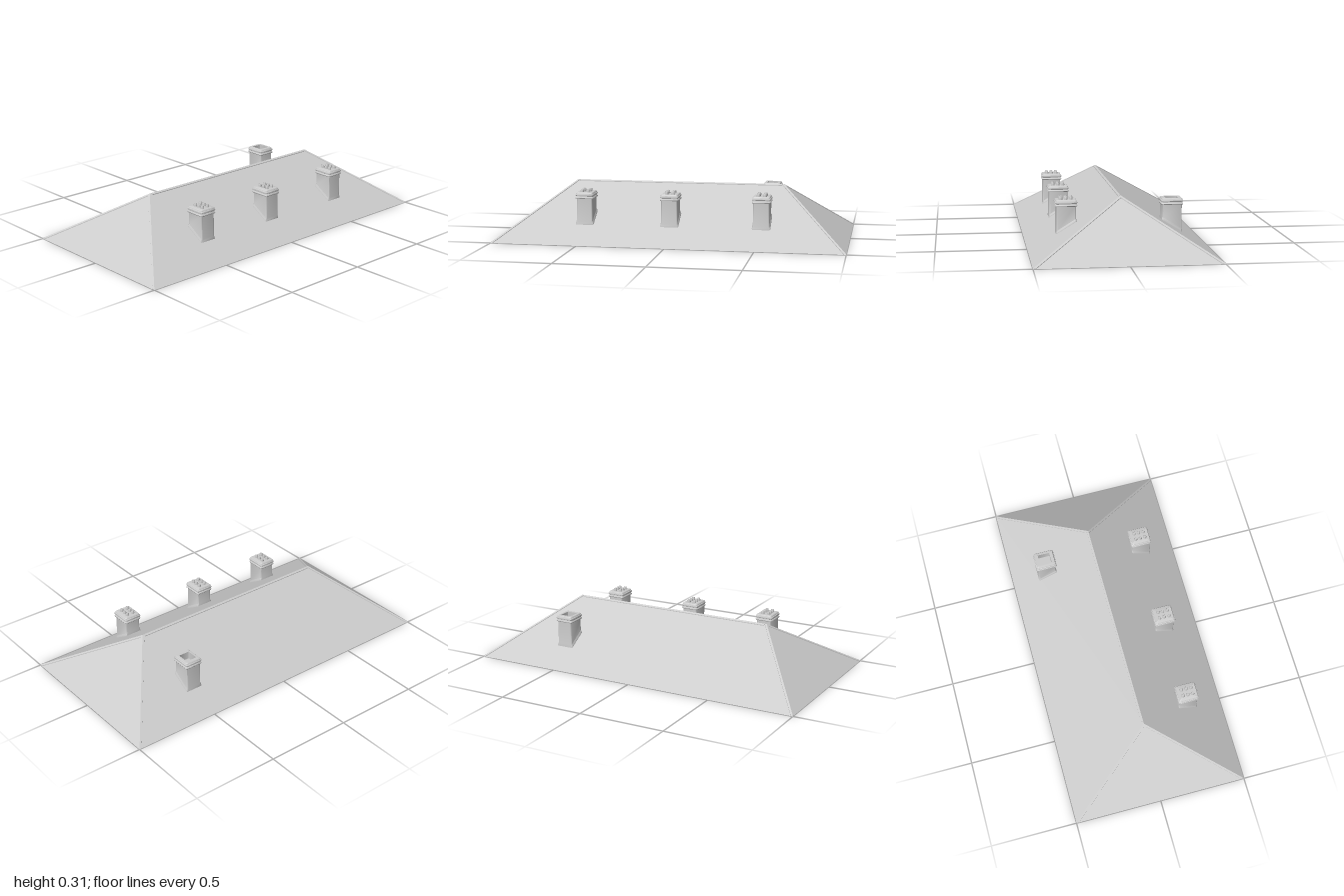
import * as THREE from 'three';
import { toCreasedNormals } from 'three/addons/utils/BufferGeometryUtils.js';

const HALF_W = 0.5, HALF_L = 1, RIDGE_Y = 0.305, RIDGE_Z = 0.615;
const slopeY = x => RIDGE_Y * (1 - Math.abs(x) / HALF_W);
const V = (x, y, z) => new THREE.Vector3(x, y, z);

const solid = new THREE.MeshStandardMaterial({ color: 0xcccccc });
const sheet = new THREE.MeshStandardMaterial({ color: 0xcccccc, side: THREE.DoubleSide });

function addMesh(parent, name, geometry, material) {
  const mesh = new THREE.Mesh(geometry, material);
  mesh.name = name;
  parent.add(mesh);
  return mesh;
}

// Flat-faced surface from polygons, each split as a fan
function polygons(faces) {
  const pts = [];
  for (const f of faces)
    for (let i = 1; i < f.length - 1; i++) pts.push(f[0], f[i], f[i + 1]);
  const g = new THREE.BufferGeometry().setFromPoints(pts);
  g.computeVertexNormals();
  return g;
}

// Thin strip between two matching cross-sections
function strip(start, end) {
  const faces = [];
  for (let i = 0; i < start.length - 1; i++)
    faces.push([start[i], start[i + 1], end[i + 1], end[i]]);
  faces.push(start, end);
  return polygons(faces);
}

// Rounded rectangle in plan
function roundedRing(hx, hz, r) {
  const pts = [];
  for (let c = 0; c < 4; c++) {
    const sx = c === 0 || c === 3 ? 1 : -1, sz = c < 2 ? 1 : -1;
    for (let k = 0; k <= 4; k++) {
      const a = (c + k / 4) * Math.PI / 2;
      pts.push([sx * (hx - r) + r * Math.cos(a), sz * (hz - r) + r * Math.sin(a)]);
    }
  }
  return pts;
}

// Loft through rings [halfX, halfZ, height, cornerRadius, followsSlope]
function loft(rings, cx) {
  const loops = rings.map(([hx, hz, y, r, follow]) =>
    roundedRing(hx, hz, r).map(([x, z]) => V(x, follow ? slopeY(cx + x) + y : y, z)));
  const pts = [];
  for (let j = 0; j < loops.length - 1; j++) {
    const a = loops[j], b = loops[j + 1], n = a.length;
    for (let i = 0; i < n; i++) {
      const k = (i + 1) % n;
      pts.push(a[i], b[i], a[k], a[k], b[i], b[k]);
    }
  }
  return toCreasedNormals(new THREE.BufferGeometry().setFromPoints(pts), 0.6);
}

function chimney(x, z, hasPots) {
  const group = new THREE.Group();
  group.name = hasPots ? 'pottedChimney' : 'openChimney';
  group.position.set(x, 0, z);

  // Flared foot on the slope, shaft, two collars and chamfered top
  const rings = [
    [0.056, 0.052, 0, 0.008, true],
    [0.056, 0.051, 0.007, 0.008, true],
    [0.054, 0.046, 0.016, 0.007, true],
    [0.054, 0.046, 0.244, 0.007],
    [0.059, 0.051, 0.244, 0.008],
    [0.061, 0.053, 0.248, 0.009],
    [0.059, 0.051, 0.253, 0.008],
    [0.056, 0.048, 0.255, 0.007],
    [0.056, 0.048, 0.259, 0.007],
    [0.060, 0.052, 0.261, 0.009],
    [0.061, 0.053, 0.264, 0.009],
    [0.060, 0.052, 0.269, 0.009],
    [0.057, 0.049, 0.271, 0.008],
    [0.056, 0.048, 0.276, 0.008],
    [0.053, 0.045, 0.279, 0.007],
  ];
  if (!hasPots) rings.push([0.035, 0.032, 0.279, 0.001], [0.035, 0.032, 0.235, 0.001]);
  rings.push([0, 0, hasPots ? 0.279 : 0.235, 0]);
  addMesh(group, 'stack', loft(rings, x), solid);

  // Two rows of three tapered pots with hollow tops
  if (hasPots) {
    const profile = [[0.0105, 0.276], [0.0100, 0.284], [0.0085, 0.293],
      [0.0075, 0.295], [0.0060, 0.295], [0.0060, 0.284], [0, 0.284]];
    const pot = toCreasedNormals(
      new THREE.LatheGeometry(profile.map(p => new THREE.Vector2(...p)), 16), 0.6);
    for (const px of [-0.028, 0, 0.028])
      for (const pz of [-0.018, 0.018])
        addMesh(group, 'chimneyPot', pot, sheet).position.set(px, 0, pz);
  }
  return group;
}

export function createModel() {
  const model = new THREE.Group();
  model.name = 'hippedRoof';

  // Four roof slopes, open underneath
  const fr = V(HALF_W, 0, HALF_L), fl = V(-HALF_W, 0, HALF_L);
  const br = V(HALF_W, 0, -HALF_L), bl = V(-HALF_W, 0, -HALF_L);
  const front = V(0, RIDGE_Y, RIDGE_Z), back = V(0, RIDGE_Y, -RIDGE_Z);
  addMesh(model, 'roofSlopes', polygons([
    [fl, fr, front], [br, bl, back], [fr, br, back, front], [bl, fl, front, back],
  ]), sheet);

  // Raised caps along the four hips
  const w = 0.016, d = 0.013, lift = V(0, 0.004, 0);
  const section = (a, mid, b) =>
    [a, a.clone().add(lift), mid.clone().add(lift), b.clone().add(lift), b];
  for (const sx of [-1, 1]) for (const sz of [-1, 1]) {
    const corner = V(sx * HALF_W, 0, sz * HALF_L), apex = V(0, RIDGE_Y, sz * RIDGE_Z);
    const alongEnd = V(-sx * w, 0, 0), alongSide = V(0, 0, -sz * d);
    addMesh(model, 'hipCap', strip(
      section(corner.clone().add(alongEnd), corner, corner.clone().add(alongSide)),
      section(corner.clone().lerp(apex, 1 - w / HALF_W).add(alongEnd), apex,
        apex.clone().add(alongSide))), sheet);
  }

  // Ridge cap
  const ridgeSection = z => section(V(-0.01, slopeY(0.01), z), V(0, RIDGE_Y, z),
    V(0.01, slopeY(0.01), z));
  addMesh(model, 'ridgeCap',
    strip(ridgeSection(RIDGE_Z - d), ridgeSection(d - RIDGE_Z)), sheet);

  // Three potted chimneys on the left slope, one open flue on the right
  for (const z of [-0.52, 0, 0.49]) model.add(chimney(0.29, z, true));
  model.add(chimney(-0.292, -0.52, false));

  return model;
}
